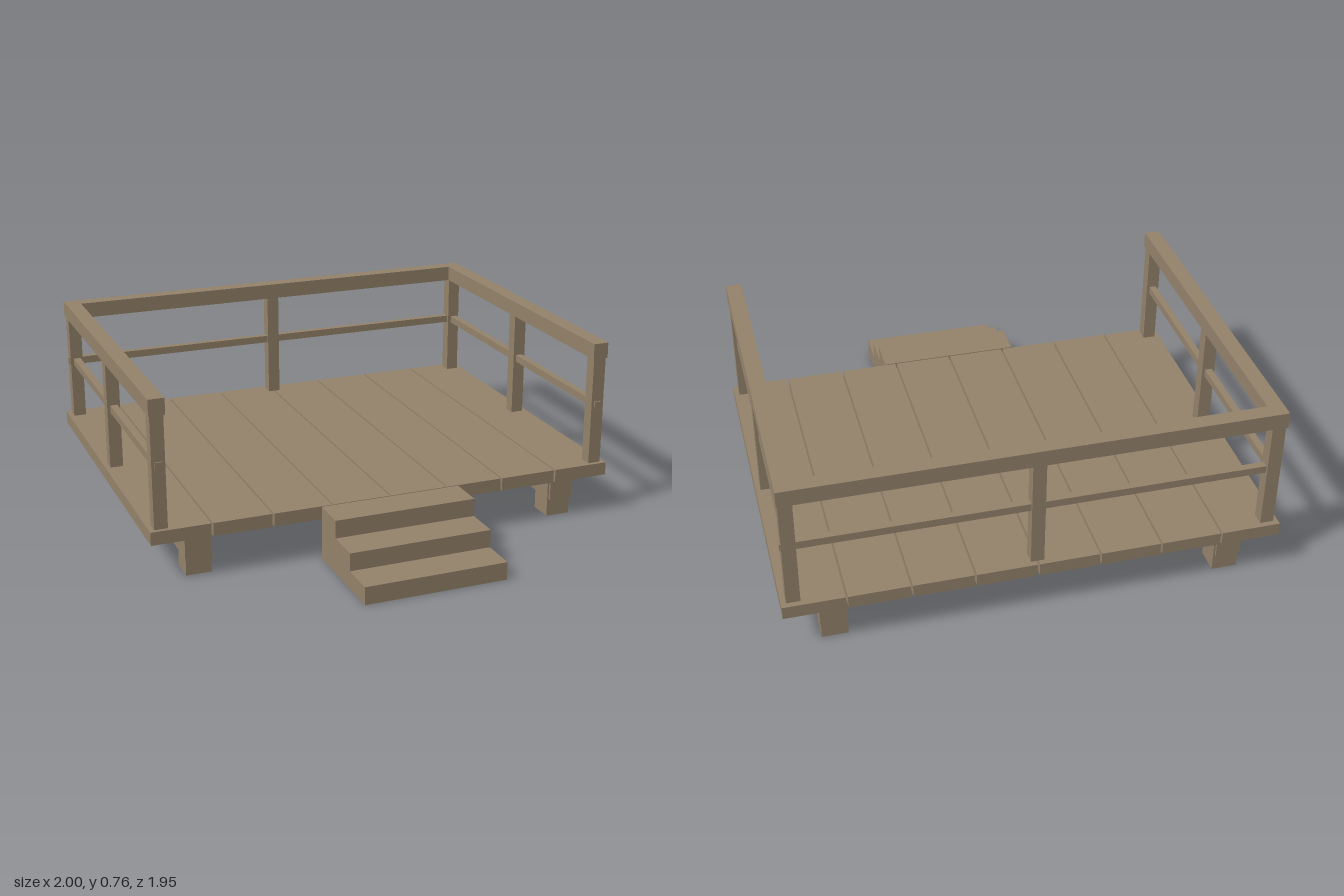
import * as THREE from 'three';

export function createModel() {
  const model = new THREE.Group();
  model.name = 'deck';
  const wood = new THREE.MeshStandardMaterial({ color: 0x94836b, side: THREE.DoubleSide });
  wood.name = 'weathered wood';

  // Box given by its minimum and maximum on each axis
  function box(name, x0, x1, y0, y1, z0, z1) {
    const geometry = new THREE.BoxGeometry(x1 - x0, y1 - y0, z1 - z0);
    const mesh = new THREE.Mesh(geometry, wood);
    mesh.position.set((x0 + x1) / 2, (y0 + y1) / 2, (z0 + z1) / 2);
    mesh.name = name;
    model.add(mesh);
    return mesh;
  }

  // Same box on both sides of the deck
  function pair(name, x0, x1, y0, y1, z0, z1) {
    box(name + 'Left', x0, x1, y0, y1, z0, z1);
    box(name + 'Right', -x1, -x0, y0, y1, z0, z1);
  }

  // Floor planks with narrow gaps
  const plankWidth = 0.243;
  const pitch = (2 - plankWidth) / 7;
  for (let i = 0; i < 8; i++) {
    const x = -1 + i * pitch;
    box('plank', x, x + plankWidth, 0.17, 0.225, -0.977, 0.523);
  }

  // Beams and feet under the floor
  pair('beam', 0.755, 0.857, 0.075, 0.17, -0.94, 0.49);
  pair('frontFoot', 0.748, 0.853, 0, 0.165, 0.375, 0.48);
  pair('backFoot', 0.748, 0.853, 0, 0.165, -0.93, -0.825);

  // Railing posts
  for (const z of [0.478, -0.225, -0.927]) {
    pair('post', 0.925, 0.98, 0.225, 0.69, z - 0.027, z + 0.027);
  }
  box('backMiddlePost', -0.027, 0.027, 0.225, 0.69, -0.954, -0.9);

  // Handrails and thin middle rails
  pair('sideHandrail', 0.919, 0.985, 0.69, 0.757, -0.895, 0.511);
  box('backHandrail', -0.985, 0.985, 0.69, 0.757, -0.96, -0.895);
  pair('sideMiddleRail', 0.937, 0.967, 0.47, 0.502, -0.895, 0.511);
  box('backMiddleRail', -0.985, 0.985, 0.47, 0.502, -0.942, -0.912);

  // Steps, hollow and open at the bottom
  for (let i = 0; i < 3; i++) {
    const z = 0.528 + i * 0.15;
    const step = box('step', -0.3, 0.3, 0, 0.225 - i * 0.075, z, z + 0.15);
    const index = Array.from(step.geometry.index.array);
    index.splice(18, 6); // drop the bottom face
    step.geometry.setIndex(index);
    step.geometry.clearGroups();
  }

  return model;
}
